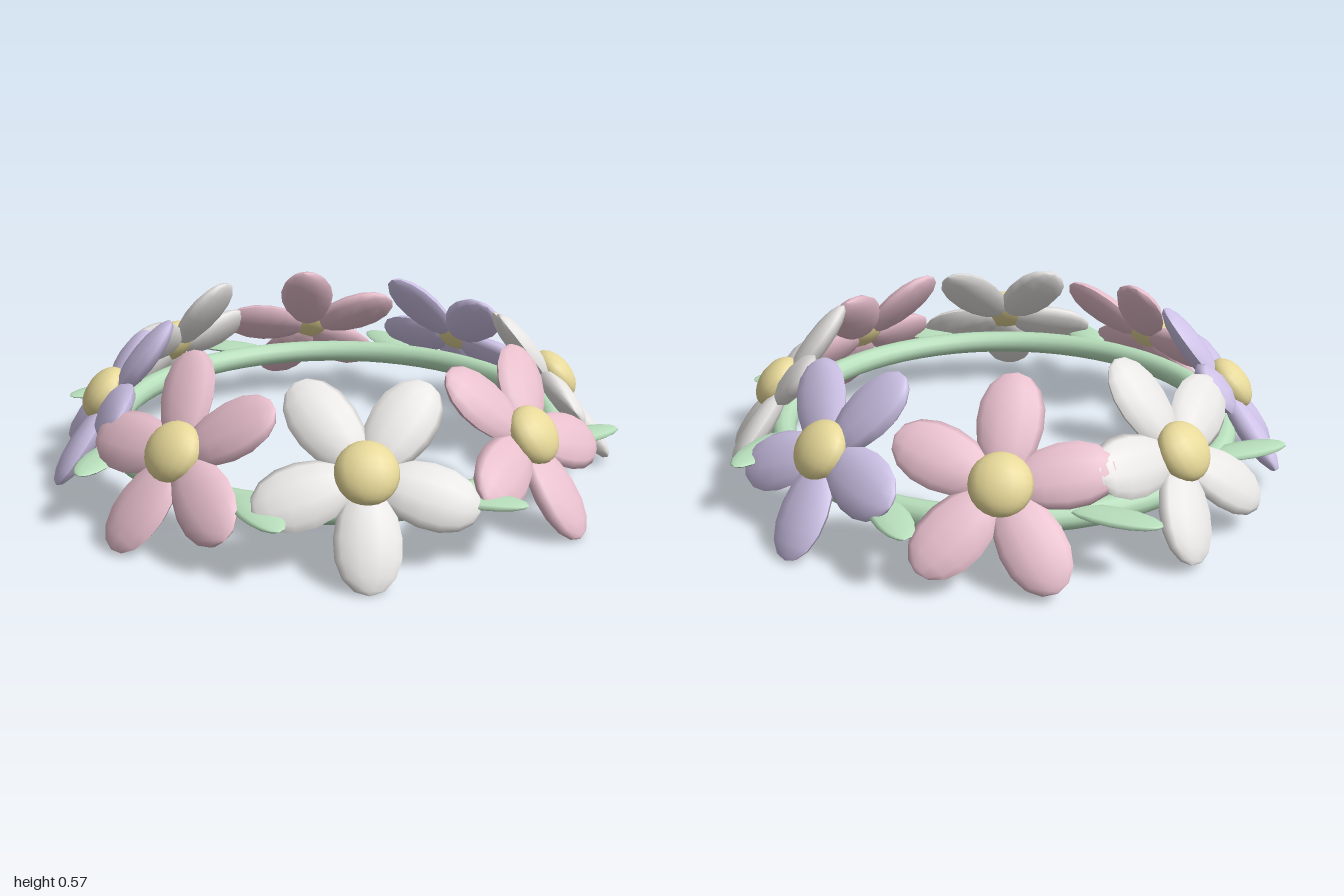
import * as THREE from 'three';

const rad = THREE.MathUtils.degToRad;

function material(name, color) {
  const m = new THREE.MeshStandardMaterial({ color });
  m.name = name;
  return m;
}

// Ellipsoid lying along +y from its base, slightly broader at the tip
function petalGeometry(start, end, halfWidth, halfDepth, flare) {
  const g = new THREE.SphereGeometry(1, 10, 8);
  const p = g.attributes.position;
  const half = (end - start) / 2;
  for (let i = 0; i < p.count; i++) {
    const y = p.getY(i);
    p.setXYZ(i, p.getX(i) * halfWidth * (1 + flare * y), start + half * (1 + y), p.getZ(i) * halfDepth);
  }
  g.computeVertexNormals();
  return g;
}

export function createModel() {
  const crown = new THREE.Group();
  crown.name = 'flowerCrown';

  const green = material('leaf green', 0xb8dfbc);
  const yellow = material('pollen yellow', 0xecdd9c);
  const petalColors = [
    material('petal white', 0xf0eeec),
    material('petal pink', 0xf0c6d4),
    material('petal lilac', 0xd6caf0),
  ];

  const add = (parent, name, geometry, mat) => {
    const mesh = new THREE.Mesh(geometry, mat);
    mesh.name = name;
    parent.add(mesh);
    return mesh;
  };

  // Ring that carries everything
  const band = add(crown, 'band', new THREE.TorusGeometry(0.787, 0.043, 12, 64), green);
  band.rotation.x = Math.PI / 2;
  band.position.y = 0.187;

  // Flowers lean back, facing outward and up
  const petal = petalGeometry(0.02, 0.362, 0.104, 0.043, 0.12);
  const heart = new THREE.SphereGeometry(0.1, 16, 12);
  const lean = rad(38);
  const spins = [51, 38, 9, 28, 10, -10, 35, -20];
  const up = new THREE.Vector3(0, 1, 0);
  spins.forEach((spin, i) => {
    const a = rad(33.2 + i * 45);
    const out = new THREE.Vector3(Math.cos(a), 0, Math.sin(a));
    const side = new THREE.Vector3(Math.sin(a), 0, -Math.cos(a));
    const normal = out.clone().multiplyScalar(Math.cos(lean)).addScaledVector(up, Math.sin(lean));
    const top = normal.clone().cross(side);

    const flower = new THREE.Group();
    flower.name = 'flower' + (i + 1);
    flower.quaternion.setFromRotationMatrix(new THREE.Matrix4().makeBasis(side, top, normal));
    flower.position.copy(out).multiplyScalar(0.787).setY(0.3);
    for (let k = 0; k < 5; k++) {
      const p = add(flower, 'petal', petal, petalColors[i % 3]);
      p.rotation.z = rad(spin + 72 * k - 90);
    }
    const h = add(flower, 'flowerHeart', heart, yellow);
    h.scale.z = 0.62;
    h.position.z = 0.033;
    crown.add(flower);
  });

  // Flat leaves between the flowers, swept to one side
  const leaf = petalGeometry(-0.15, 0.15, 0.062, 0.016, 0);
  for (let i = 0; i < 8; i++) {
    const a = rad(10.2 + i * 45);
    const holder = new THREE.Group();
    holder.name = 'leaf' + (i + 1);
    holder.position.set(0.887 * Math.cos(a), 0.213, 0.887 * Math.sin(a));
    holder.rotation.y = -(a - rad(44)) - Math.PI / 2;
    add(holder, 'leafBlade', leaf, green).rotation.x = Math.PI / 2;
    crown.add(holder);
  }

  return crown;
}
